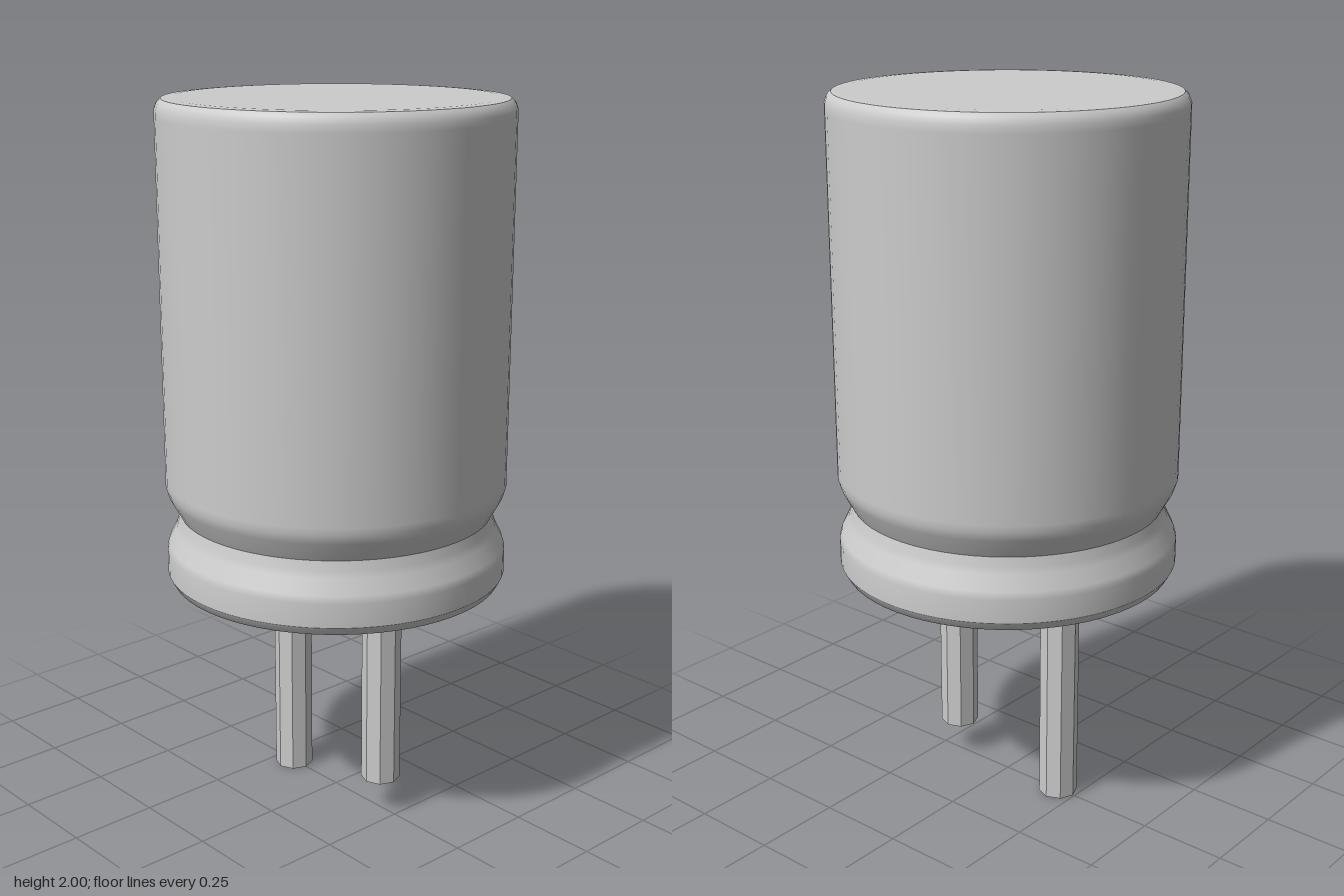
import * as THREE from 'three';

const metal = new THREE.MeshStandardMaterial({ color: 0xcccccc });
metal.name = 'greyMetal';
const leadMetal = metal.clone();
leadMetal.name = 'flatGreyMetal';
leadMetal.flatShading = true;

// Smooth band of revolution, profile listed from bottom to top as [radius, y]
function band(name, profile) {
  const points = profile.map(([r, y]) => new THREE.Vector2(r, y));
  const mesh = new THREE.Mesh(new THREE.LatheGeometry(points, 64), metal);
  mesh.name = name;
  return mesh;
}

// Eight-sided wire lead running from its free end up into the base
function lead(name, x, bottom) {
  const top = 0.69;
  const mesh = new THREE.Mesh(new THREE.CylinderGeometry(0.055, 0.055, top - bottom, 8), leadMetal);
  mesh.position.set(x, (top + bottom) / 2, 0);
  mesh.name = name;
  return mesh;
}

export function createModel() {
  const model = new THREE.Group();
  model.name = 'capacitor';

  // Can: separate bands keep the creases sharp
  model.add(
    band('baseDisc', [[0, 0.672], [0.452, 0.672]]),
    band('baseEdge', [[0.452, 0.672], [0.462, 0.676], [0.475, 0.70]]),
    band('baseRing', [[0.475, 0.70], [0.475, 0.765], [0.469, 0.785], [0.449, 0.825], [0.443, 0.845], [0.437, 0.87]]),
    band('canBody', [[0.437, 0.87], [0.467, 0.925], [0.475, 0.95], [0.475, 0.97], [0.475, 1.95], [0.475, 1.97], [0.468, 1.988], [0.457, 1.998]]),
    band('topDisc', [[0.457, 1.998], [0.43, 2], [0, 2]])
  );

  // Leads: one longer than the other
  model.add(lead('longLead', -0.19, 0), lead('shortLead', 0.19, 0.1));
  return model;
}
